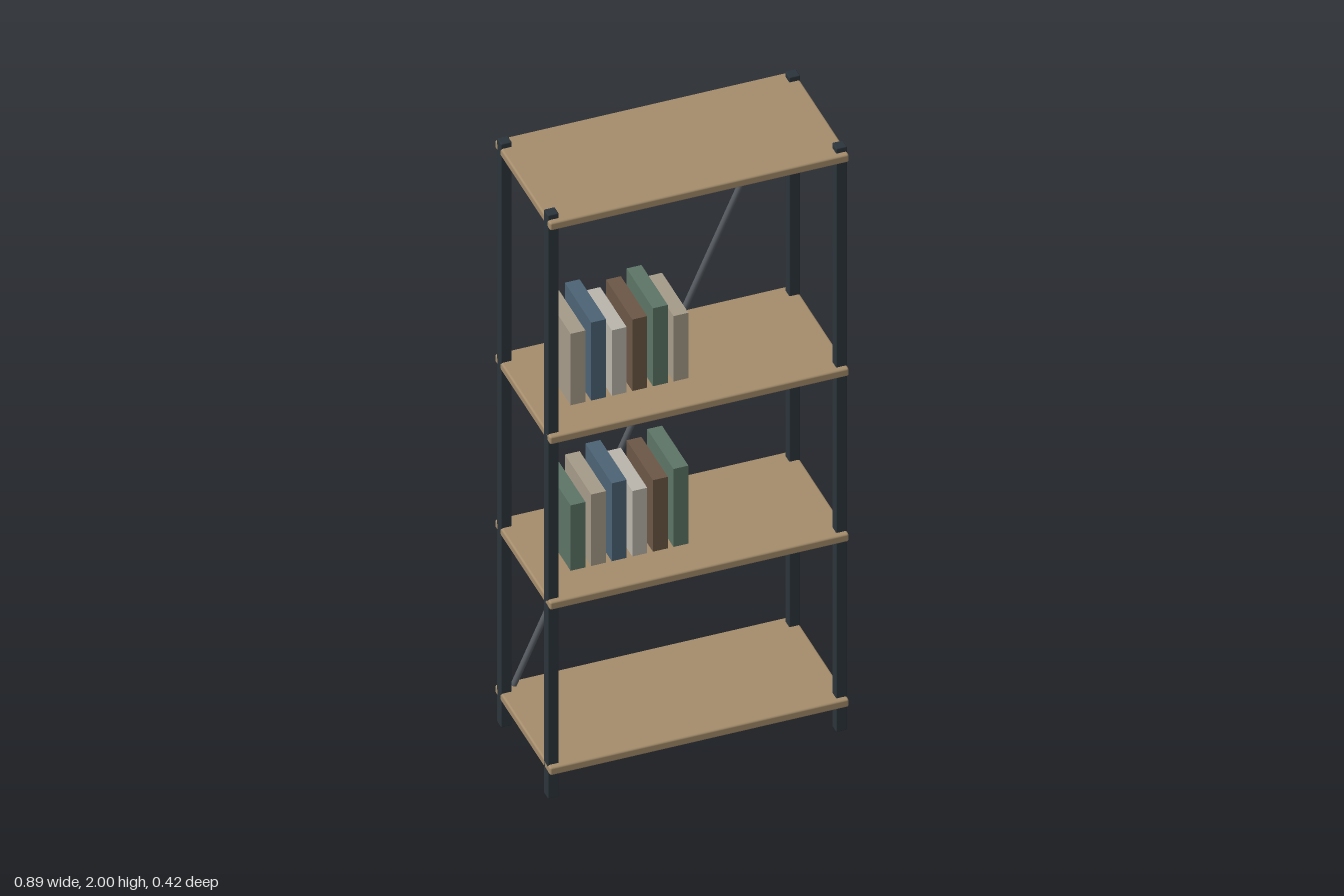
import * as THREE from 'three';
import { RoundedBoxGeometry } from 'three/addons/geometries/RoundedBoxGeometry.js';

const paint = (color) => new THREE.MeshStandardMaterial({ color });
const WOOD = paint(0xa58d6c), STEEL = paint(0x2c353c), ROD = paint(0x555a60);
const COVERS = {
  tan: paint(0xa59b89), blue: paint(0x4c6375), pale: paint(0xbab6ac),
  brown: paint(0x6b5746), green: paint(0x5c7566),
};

function add(parent, name, geometry, material, x, y, z) {
  const mesh = new THREE.Mesh(geometry, material);
  mesh.name = name;
  mesh.position.set(x, y, z);
  parent.add(mesh);
  return mesh;
}

export function createModel() {
  const model = new THREE.Group();
  model.name = 'bookshelf';

  // Four corner posts
  const postX = 0.427, postZ = 0.178;
  const postGeo = new RoundedBoxGeometry(0.032, 2, 0.032, 2, 0.003);
  for (const sx of [-1, 1]) for (const sz of [-1, 1]) {
    add(model, `${sz > 0 ? 'front' : 'back'}${sx > 0 ? 'Left' : 'Right'}Post`,
      postGeo, STEEL, sx * postX, 1, sz * postZ);
  }

  // Four boards with softened edges
  const thickness = 0.027;
  const boardGeo = new RoundedBoxGeometry(0.886, thickness, 0.42, 2, 0.006);
  const levels = [0.103, 0.67, 1.237, 1.97];
  levels.forEach((y, i) => add(model, `shelf${i + 1}`, boardGeo, WOOD, 0, y, 0));

  // Diagonal rod between the back posts
  const from = new THREE.Vector3(-0.4, 0.125, -postZ);
  const to = new THREE.Vector3(0.4, 1.95, -postZ);
  const dir = to.clone().sub(from);
  const mid = from.clone().add(to).multiplyScalar(0.5);
  const rod = add(model, 'backBrace',
    new THREE.CylinderGeometry(0.009, 0.009, dir.length(), 12), ROD, mid.x, mid.y, mid.z);
  rod.quaternion.setFromUnitVectors(new THREE.Vector3(0, 1, 0), dir.normalize());

  // Rows of books on the two middle boards, heights cycling through three sizes
  const heights = [0.224, 0.245, 0.267];
  const rows = [
    { name: 'lowerBooks', level: levels[1], shift: 0, covers: ['green', 'tan', 'blue', 'pale', 'brown', 'green'] },
    { name: 'upperBooks', level: levels[2], shift: 1, covers: ['tan', 'blue', 'pale', 'brown', 'green', 'tan'] },
  ];
  for (const { name, level, shift, covers } of rows) {
    const row = new THREE.Group();
    row.name = name;
    row.position.y = level + thickness / 2;
    covers.forEach((cover, i) => {
      const h = heights[(i + shift) % 3];
      add(row, `book${i + 1}`, new THREE.BoxGeometry(0.044, h, 0.2),
        COVERS[cover], -0.314 + i * 0.061, h / 2, -0.009);
    });
    model.add(row);
  }
  return model;
}
